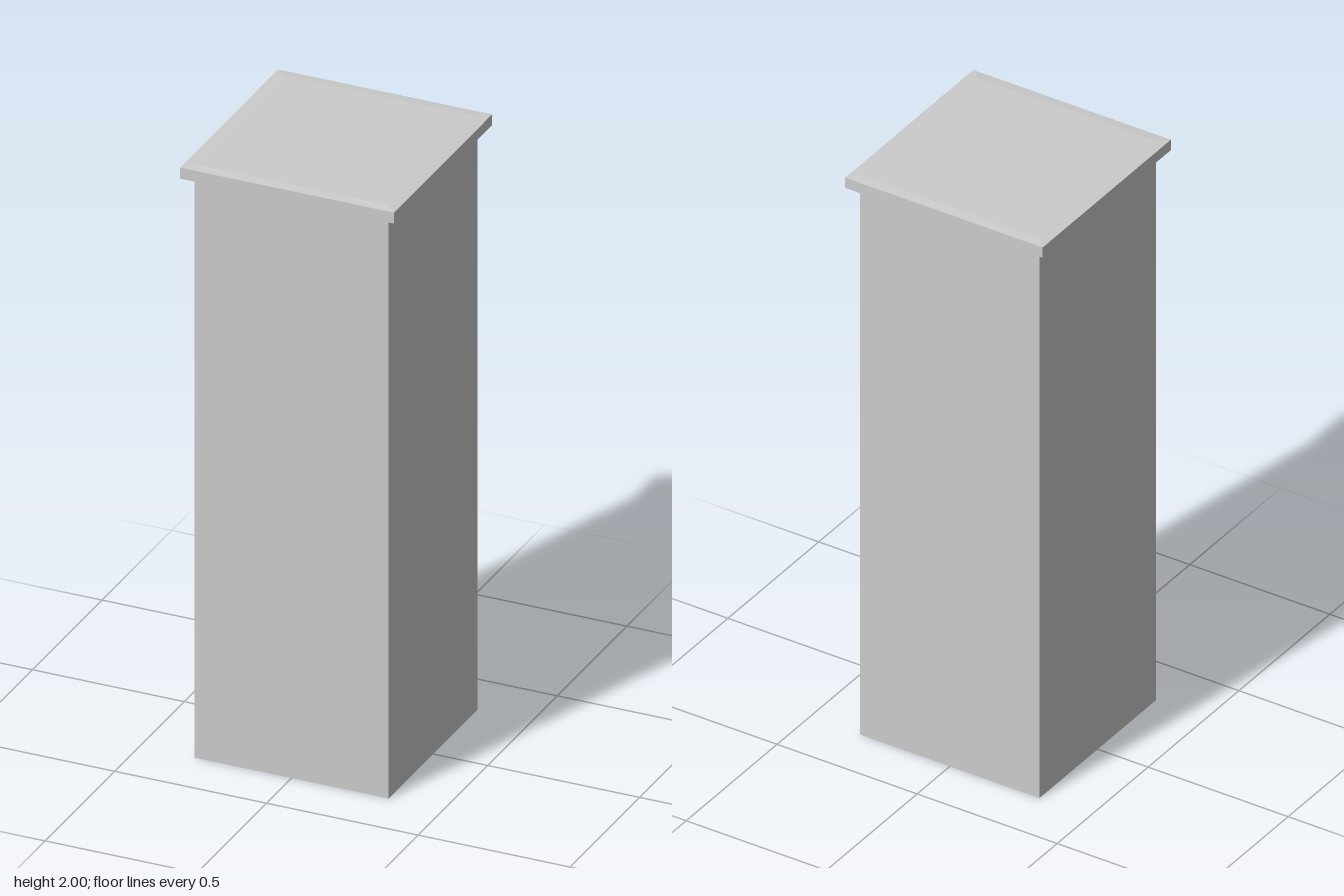
import * as THREE from 'three';

const material = new THREE.MeshStandardMaterial({
  color: 0xcccccc, flatShading: true, side: THREE.DoubleSide,
});

// Square shell swept from a profile of [half width, height], bottom to top.
function squareShell(name, profile) {
  const points = profile.map(([w, y]) => new THREE.Vector2(w * Math.SQRT2, y));
  const geometry = new THREE.LatheGeometry(points, 4, Math.PI / 4).toNonIndexed();
  geometry.computeVertexNormals();
  const mesh = new THREE.Mesh(geometry, material);
  mesh.name = name;
  return mesh;
}

export function createModel() {
  const group = new THREE.Group();
  group.name = 'pillar';
  const shaft = 0.32, cap = 0.3525, capBase = 1.96;

  // Hollow shaft, open at the bottom
  group.add(squareShell('shaft', [[shaft, 0], [shaft, capBase]]));

  // Overhanging cap: underside ledge, rim and shallow sloped border
  group.add(squareShell('cap', [
    [shaft, capBase], [cap, capBase], [cap, 1.997], [shaft, 2],
  ]));

  // Flat top of the cap
  const top = new THREE.Mesh(new THREE.PlaneGeometry(shaft * 2, shaft * 2), material);
  top.name = 'capTop';
  top.rotation.x = -Math.PI / 2;
  top.position.y = 2;
  group.add(top);

  return group;
}
